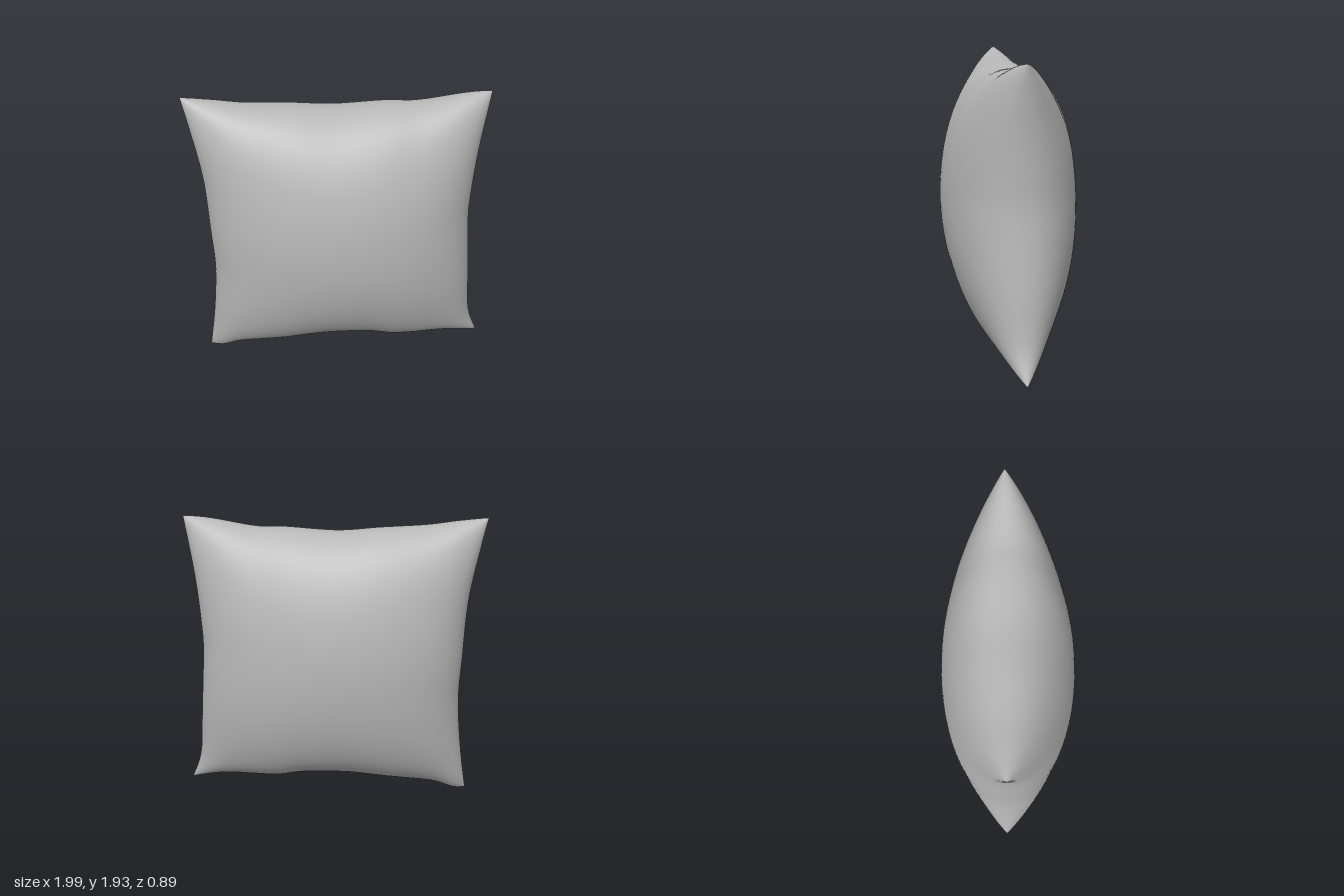
import * as THREE from 'three';
import { ParametricGeometry } from 'three/addons/geometries/ParametricGeometry.js';
import { mergeGeometries, mergeVertices } from 'three/addons/utils/BufferGeometryUtils.js';

const seam = (pts) => new THREE.SplineCurve(pts.map(([x, y]) => new THREE.Vector2(x, y)));

// Four slightly wavy seams, running left to right and bottom to top
const bottom = seam([[-0.94, 0.01], [-0.85, 0.015], [-0.7, 0.07], [-0.4, 0.11], [-0.1, 0.15], [0.2, 0.145], [0.4, 0.11], [0.75, 0.1], [1, 0.045]]);
const top = seam([[-0.99, 1.94], [-0.8, 1.915], [-0.6, 1.885], [-0.3, 1.865], [-0.03, 1.845], [0.3, 1.865], [0.5, 1.867], [0.8, 1.92], [0.96, 1.935]]);
const left = seam([[-0.94, 0.01], [-0.89, 0.35], [-0.86, 0.7], [-0.87, 1], [-0.89, 1.4], [-0.95, 1.75], [-0.99, 1.94]]);
const right = seam([[1, 0.045], [0.93, 0.25], [0.9, 0.6], [0.87, 1], [0.87, 1.2], [0.9, 1.55], [0.96, 1.935]]);
const corners = [[-0.94, 0.01], [1, 0.045], [-0.99, 1.94], [0.96, 1.935]];

// Crowd the grid lines towards the seams, where the surface curves most
const spread = (t) => (1 - Math.cos(Math.PI * t)) / 2;

// One bulging panel: the seams blended across, puffed out along z
function panel(side) {
  return new ParametricGeometry((a, b, target) => {
    const s = spread(side > 0 ? a : 1 - a);
    const t = spread(b);
    const B = bottom.getPointAt(s), T = top.getPointAt(s);
    const L = left.getPointAt(t), R = right.getPointAt(t);
    const w = [(1 - s) * (1 - t), s * (1 - t), (1 - s) * t, s * t];
    const blend = (k, i) => (1 - t) * B[k] + t * T[k] + (1 - s) * L[k] + s * R[k]
      - corners.reduce((sum, c, n) => sum + w[n] * c[i], 0);
    const puff = Math.max(0, 16 * s * (1 - s) * t * (1 - t)) ** 0.46;
    const sway = -0.015 + 0.01 * Math.sin(9 * s) * Math.sin(7 * t + 1);
    target.set(blend('x', 0), blend('y', 1), side * 0.447 * puff + sway * (1 - puff));
  }, 64, 64);
}

export function createModel() {
  const group = new THREE.Group();
  group.name = 'cushion';
  const fabric = new THREE.MeshStandardMaterial({ color: 0xb8b8b8 });
  fabric.name = 'grey fabric';

  // Weld both panels along the seam so the shading runs smoothly around it
  const shell = mergeGeometries([panel(1), panel(-1)]);
  shell.deleteAttribute('normal');
  shell.deleteAttribute('uv');
  const geometry = mergeVertices(shell, 1e-5);
  geometry.computeVertexNormals();

  const pillow = new THREE.Mesh(geometry, fabric);
  pillow.name = 'pillow';
  group.add(pillow);
  return group;
}
